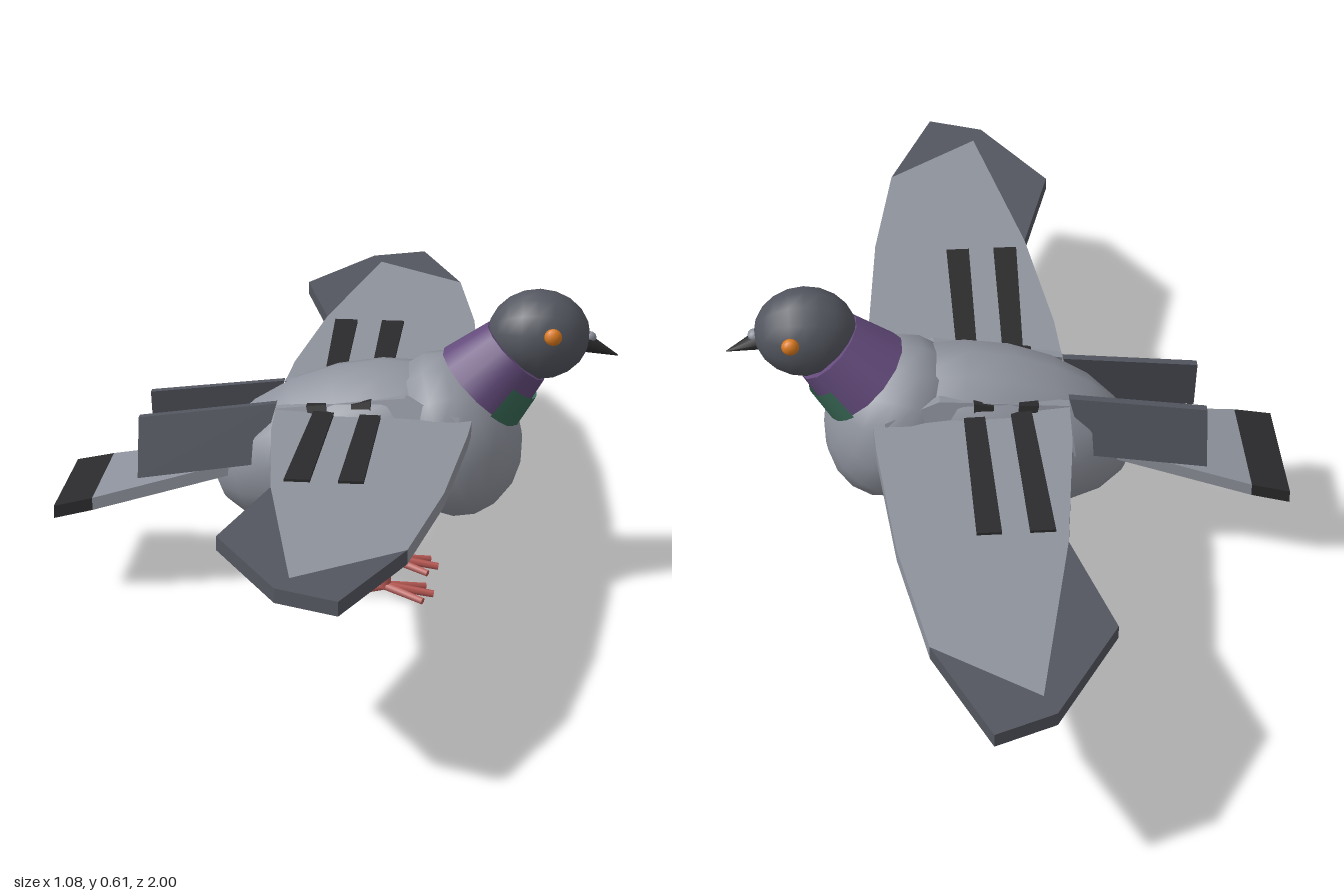
import * as THREE from 'three';

const mat = (name, color, side = THREE.FrontSide) => {
  const m = new THREE.MeshStandardMaterial({ color, side });
  m.name = name;
  return m;
};

export function createModel() {
  const bird = new THREE.Group();
  bird.name = 'bird';
  const grey = mat('plumage grey', 0x8e929c);
  const slate = mat('dark slate', 0x53565f);
  const black = mat('bar black', 0x2b2b2d);
  const purple = mat('neck purple', 0x644b7c);
  const green = mat('neck green', 0x3a6b58, THREE.DoubleSide);
  const coral = mat('leg coral', 0xbb5a55);
  const orange = mat('eye orange', 0xd9791e);

  const add = (name, geo, material) => {
    const m = new THREE.Mesh(geo, material);
    m.name = name;
    bird.add(m);
    return m;
  };

  // Ellipsoid with its poles along x, tilted about z
  const ellipsoid = (name, material, r, pos, tilt = 0, w = 14, h = 10) => {
    const m = add(name, new THREE.SphereGeometry(1, w, h).rotateZ(-Math.PI / 2), material);
    m.scale.set(...r);
    m.position.set(...pos);
    m.rotation.z = tilt;
  };

  // Tapered rod between two points
  const rod = (name, material, a, b, ra, rb, sides = 8) => {
    const A = new THREE.Vector3(...a), B = new THREE.Vector3(...b);
    const m = add(name, new THREE.CylinderGeometry(rb, ra, A.distanceTo(B), sides), material);
    m.position.copy(A).add(B).multiplyScalar(0.5);
    m.quaternion.setFromUnitVectors(new THREE.Vector3(0, 1, 0), B.sub(A).normalize());
  };

  const extrude = (pts, depth) => new THREE.ExtrudeGeometry(
    new THREE.Shape(pts.map(p => new THREE.Vector2(...p))), { depth, bevelEnabled: false });

  // Flat slab from (x, z) points, with a rise in y along x
  const slab = (name, material, pts, top, depth, slope = 0) => {
    const g = extrude(pts, depth).rotateX(Math.PI / 2).translate(0, top, 0);
    const p = g.attributes.position;
    for (let i = 0; i < p.count; i++) p.setY(i, p.getY(i) + slope * p.getX(i));
    g.computeVertexNormals();
    add(name, g, material);
  };

  // Upright side panel from (x, y) points, leaning inward at the top
  const panel = (name, material, pts, s, z, depth, lean, taper = 0) => {
    const g = extrude(pts, depth).translate(0, 0, -depth / 2);
    const p = g.attributes.position;
    for (let i = 0; i < p.count; i++)
      p.setZ(i, p.getZ(i) + s * (z + lean * (0.3 - p.getY(i)) + taper * p.getX(i)));
    g.computeVertexNormals();
    add(name, g, material);
  };

  // Body, chest and head
  ellipsoid('body', grey, [0.285, 0.165, 0.15], [0.035, 0.29, 0], 0.26);
  ellipsoid('chest', grey, [0.135, 0.168, 0.15], [0.222, 0.32, 0], 0.35);
  ellipsoid('head', slate, [0.098, 0.088, 0.082], [0.388, 0.527, 0], 0, 14, 10);

  // Neck with a green patch wrapped round its lower front
  const neckTilt = -0.76;
  const neck = add('neck', new THREE.CylinderGeometry(0.077, 0.1, 0.1, 14), purple);
  neck.position.set(0.311, 0.455, 0);
  neck.rotation.z = neckTilt;
  const patch = add('neckPatch', new THREE.CylinderGeometry(0.091, 0.105, 0.066, 10, 1, true,
    Math.PI / 2 - 1.2, 2.4).translate(0, -0.019, 0), green);
  patch.position.copy(neck.position);
  patch.rotation.z = neckTilt;

  // Beak and cere
  rod('beak', black, [0.472, 0.514, 0], [0.54, 0.489, 0], 0.021, 0.001);
  ellipsoid('cere', grey, [0.014, 0.012, 0.014], [0.484, 0.524, 0], 0, 8, 6);

  // Tail fan and its dark end band
  slab('tail', grey, [[-0.15, 0.06], [-0.465, 0.125], [-0.465, -0.125], [-0.15, -0.06]], 0.315, 0.025, 0.235);
  slab('tailBand', black, [[-0.465, 0.125], [-0.54, 0.13], [-0.54, -0.13], [-0.465, -0.125]], 0.315, 0.025, 0.235);

  for (const s of [1, -1]) {
    const side = pts => pts.map(([x, z]) => [x, s * z]);
    ellipsoid('eye', orange, [0.017, 0.017, 0.014], [0.417, 0.546, s * 0.078], 0, 10, 8);

    // Spread wing, dark tip and two bars showing above and below
    slab('wing', grey, side([[-0.11, 0.08], [-0.105, 0.2], [-0.07, 0.5], [0.01, 0.91], [0.195, 0.77],
      [0.24, 0.5], [0.265, 0.2], [0.27, 0.08]]), 0.388, 0.026);
    slab('wingTip', slate, side([[-0.07, 0.5], [-0.135, 0.74], [-0.01, 0.955], [0.1, 1],
      [0.195, 0.77], [0.01, 0.91]]), 0.388, 0.026);
    slab('wingBar', black, side([[-0.035, 0.1], [-0.05, 0.47], [-0.003, 0.47], [0.005, 0.1]]), 0.393, 0.036);
    slab('wingBar', black, side([[0.055, 0.1], [0.048, 0.47], [0.094, 0.47], [0.095, 0.1]]), 0.393, 0.036);

    // Flank coverts, their bars and the trailing feathers
    panel('covert', grey, [[-0.12, 0.29], [0.06, 0.305], [0.245, 0.32], [0.245, 0.395], [0.14, 0.425],
      [-0.11, 0.39]], s, 0.12, 0.02, 0.3, 0.11);
    panel('covertBar', black, [[-0.02, 0.295], [0.003, 0.3], [-0.012, 0.405], [-0.05, 0.4]], s, 0.126, 0.02, 0.3, 0.11);
    panel('covertBar', black, [[0.037, 0.305], [0.075, 0.31], [0.075, 0.418], [0.037, 0.408]], s, 0.126, 0.02, 0.3, 0.11);
    panel('trailingFeathers', slate, [[-0.377, 0.245], [-0.14, 0.28], [-0.11, 0.395], [-0.377, 0.36]],
      s, 0.09, 0.016, 0.24);

    // Leg and toes
    const z = s * 0.07;
    rod('leg', coral, [0.102, 0.02, z], [0.088, 0.155, z], 0.012, 0.015);
    for (const dz of [-0.038, 0, 0.038])
      rod('frontToe', coral, [0.095, 0.024, z], [dz ? 0.178 : 0.197, 0.008, z + dz], 0.009, 0.007, 6);
    rod('backToe', coral, [0.105, 0.024, z], [0.045, 0.008, z], 0.009, 0.007, 6);
  }
  return bird;
}
